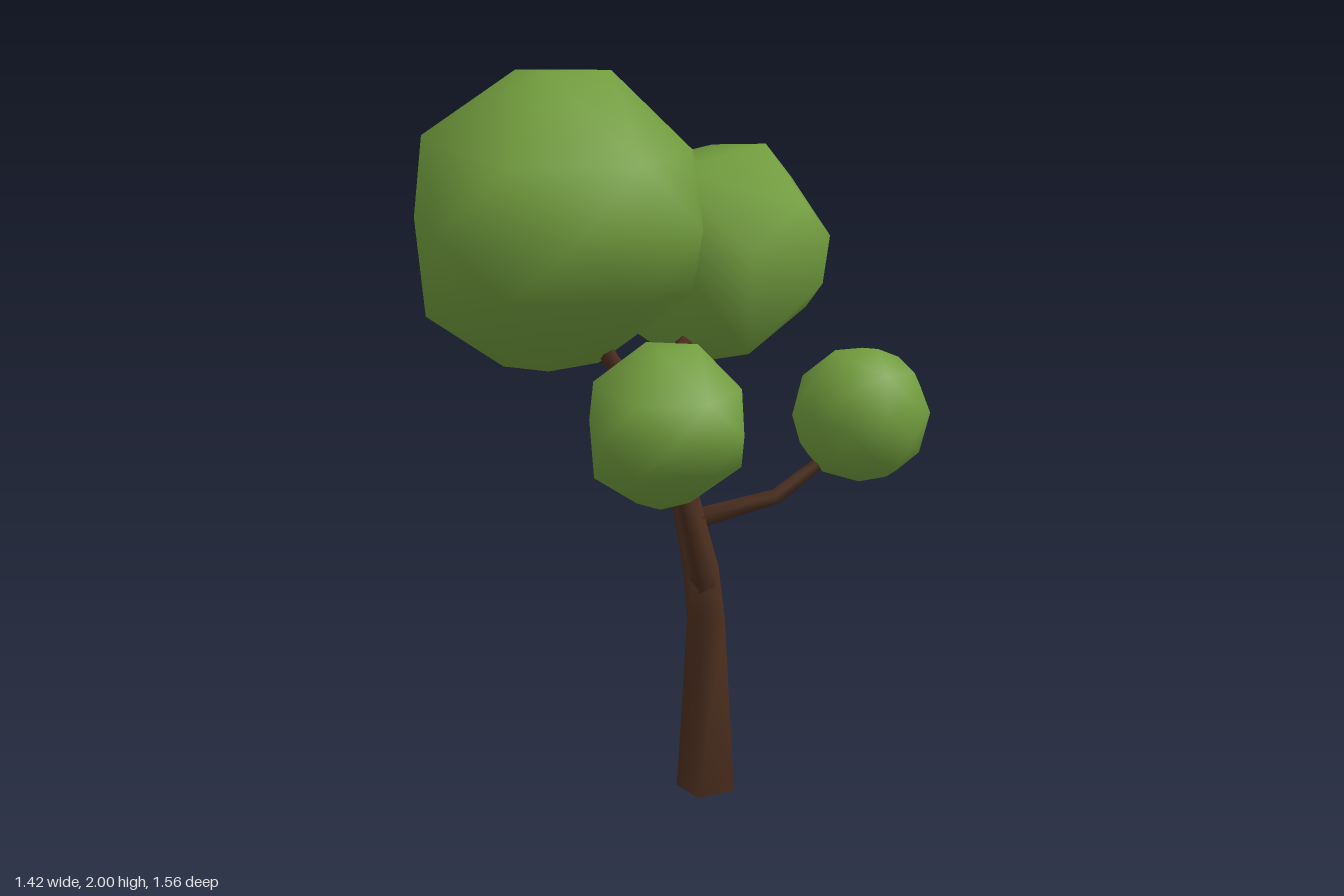
import * as THREE from 'three';
import { ConvexGeometry } from 'three/addons/geometries/ConvexGeometry.js';
import { mergeVertices } from 'three/addons/utils/BufferGeometryUtils.js';

const SIDES = 4;
const ROLL = 0.17;

// Tapered four-sided limb lofted through stations of [x, y, z, radius], closed at its root
function limbGeometry(stations) {
  const centres = stations.map(([x, y, z]) => new THREE.Vector3(x, y, z));
  const up = new THREE.Vector3(0, 1, 0);
  const positions = [];
  const index = [0, 1, 2, 0, 2, 3];
  centres.forEach((c, i) => {
    const before = centres[Math.max(i - 1, 0)];
    const after = centres[Math.min(i + 1, centres.length - 1)];
    const tangent = after.clone().sub(before).normalize();
    const turn = new THREE.Quaternion().setFromUnitVectors(up, tangent);
    for (let j = 0; j < SIDES; j++) {
      const a = (j / SIDES) * Math.PI * 2 + ROLL;
      const p = new THREE.Vector3(Math.cos(a), 0, Math.sin(a))
        .multiplyScalar(stations[i][3]).applyQuaternion(turn).add(c);
      positions.push(p.x, p.y, p.z);
      if (i < centres.length - 1) {
        const k = i * SIDES + j;
        const n = i * SIDES + (j + 1) % SIDES;
        index.push(k, k + SIDES, n, n, k + SIDES, n + SIDES);
      }
    }
  });
  const geometry = new THREE.BufferGeometry();
  geometry.setAttribute('position', new THREE.Float32BufferAttribute(positions, 3));
  geometry.setIndex(index);
  geometry.computeVertexNormals();
  return geometry;
}

// Faceted outline with smooth shading, wrapped round a few points
function hullGeometry(points) {
  const hull = new ConvexGeometry(points.map((p) => new THREE.Vector3(...p)));
  hull.deleteAttribute('normal');
  const geometry = mergeVertices(hull, 1e-4);
  geometry.computeVertexNormals();
  return geometry;
}

// Coarse crown: six corners round the middle, a ring above and below
// set between them, and a small triangle at top and bottom
function coarseCrownGeometry(radius) {
  const R = 0.42;
  const corners = [[-0.4, -0.12], [0, -0.42], [0.33, -0.24], [0.41, 0.14], [0.13, 0.4], [-0.25, 0.36]];
  const points = [
    [0.15, 0.4, -0.08], [-0.11, 0.4, -0.1], [0.01, 0.4, 0.13],
    [0.11, -0.39, -0.08], [-0.15, -0.4, -0.06], [0, -0.38, 0.12],
  ];
  corners.forEach(([x, z], i) => {
    const [nextX, nextZ] = corners[(i + 1) % corners.length];
    const midX = (x + nextX) / 2;
    const midZ = (z + nextZ) / 2;
    const h = Math.sqrt(R * R - midX * midX - midZ * midZ);
    points.push([x, 0, z], [midX, h, midZ], [midX, -h, midZ]);
  });
  return hullGeometry(points).scale(radius / R, radius / R, radius / R);
}

// Corners of the uneven back crown, about its centre
const BACK_CROWN = [
  [0.15, 0.335, 0.08], [-0.02, 0.315, -0.2], [-0.11, 0.27, 0.24], [-0.24, 0.27, 0],
  [0.22, 0.22, -0.19], [0.27, 0.17, 0.17], [0.01, 0.155, -0.34], [-0.29, 0.07, 0.19],
  [0.34, 0.055, -0.07], [-0.33, 0.03, -0.16], [0.12, 0.04, 0.33], [-0.08, 0.015, 0.35],
  [-0.2, -0.05, -0.3], [0.32, -0.06, 0.15], [0.14, -0.125, -0.305], [0.27, -0.175, -0.17],
  [-0.22, -0.2, 0.2], [-0.28, -0.2, -0.08], [0.11, -0.26, 0.21], [-0.07, -0.245, -0.25],
  [-0.1, -0.335, -0.04],
];

export function createModel() {
  const tree = new THREE.Group();
  tree.name = 'tree';
  const bark = new THREE.MeshStandardMaterial({ color: 0x4d2f1f });
  bark.name = 'brown bark';
  const leaves = new THREE.MeshStandardMaterial({ color: 0x729d3e });
  leaves.name = 'green leaves';

  const add = (name, geometry, material) => {
    const mesh = new THREE.Mesh(geometry, material);
    mesh.name = name;
    tree.add(mesh);
    return mesh;
  };

  // Trunk and branches
  const limbs = {
    trunk: [[0.1, 0, 0.135, 0.083], [0.1, 0.5, 0.135, 0.054], [0.085, 0.64, 0.125, 0.051],
      [0.05, 0.78, 0.09, 0.043], [0.015, 0.93, 0.07, 0.039], [0, 1.04, 0.06, 0.036]],
    frontBranch: [[0.092, 0.59, 0.13, 0.036], [0.092, 0.65, 0.2, 0.035], [0.075, 0.8, 0.36, 0.026],
      [0.05, 0.95, 0.45, 0.022], [0.03, 1.08, 0.53, 0.017]],
    leftBranch: [[0.05, 0.75, 0.09, 0.032], [0.1, 0.78, 0.075, 0.027], [0.29, 0.84, 0.08, 0.021],
      [0.42, 0.94, 0.05, 0.018], [0.5, 1.02, 0.02, 0.014]],
    rightTopBranch: [[0.01, 0.96, 0.07, 0.036], [-0.03, 1.07, 0.075, 0.032],
      [-0.16, 1.22, 0.125, 0.025], [-0.25, 1.4, 0.16, 0.019]],
    backBranch: [[0.01, 0.95, 0.07, 0.037], [0, 1.04, 0.02, 0.034],
      [0, 1.17, -0.19, 0.027], [0.04, 1.33, -0.35, 0.02]],
  };
  for (const [name, stations] of Object.entries(limbs)) {
    add(name, limbGeometry(stations), bark);
  }

  // Leaf crowns
  const crowns = [
    ['largeCrown', coarseCrownGeometry(0.42), [-0.31, 1.6, 0.17], [0, 0, 0]],
    ['frontCrown', coarseCrownGeometry(0.217), [0.02, 1.132, 0.57], [0, -0.1, 0]],
    ['backCrown', hullGeometry(BACK_CROWN), [0.09, 1.445, -0.44], [0, 0, 0]],
    ['leftCrown', new THREE.IcosahedronGeometry(0.193, 1), [0.52, 1.06, 0], [0.5, 0.2, 0.7]],
  ];
  for (const [name, geometry, position, rotation] of crowns) {
    const crown = add(name, geometry, leaves);
    crown.position.set(...position);
    crown.rotation.set(...rotation);
  }
  return tree;
}
